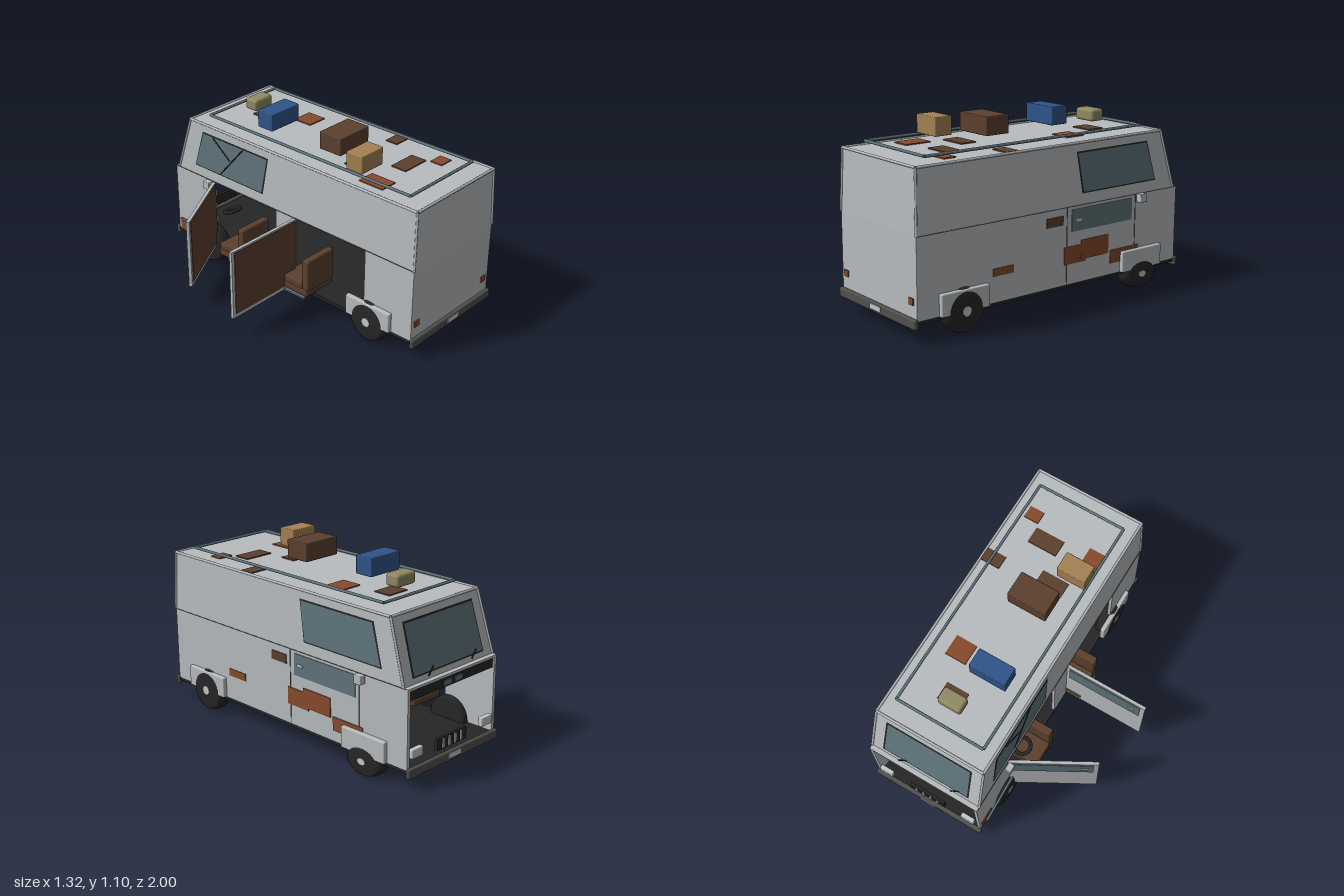
import * as THREE from 'three';
import { RoundedBoxGeometry } from 'three/addons/geometries/RoundedBoxGeometry.js';

export function createModel() {
  const van = new THREE.Group();
  van.name = 'camperVan';
  const mat = (name, color) => {
    const m = new THREE.MeshStandardMaterial({ color, side: THREE.DoubleSide });
    m.name = name;
    return m;
  };
  const body = mat('bodyGrey', 0xb8bcbf), glass = mat('tealGlass', 0x5f757b), rust = mat('rust', 0x864a2b),
    brown = mat('darkBrown', 0x5b402d), tan = mat('tan', 0xa48152), blue = mat('blue', 0x30548a),
    olive = mat('olive', 0x918a63), black = mat('black', 0x262626), grey = mat('bumperGrey', 0x50504e),
    pale = mat('paleTrim', 0xc4c9c9);

  const add = (name, geo, m, parent = van) => {
    const mesh = new THREE.Mesh(geo, m);
    mesh.name = name;
    parent.add(mesh);
    return mesh;
  };
  // box from its lower and upper limits on each axis; r rounds the edges
  const box = (name, m, x0, x1, y0, y1, z0, z1, r = 0, parent = van) => {
    const s = [x1 - x0, y1 - y0, z1 - z0];
    const geo = r ? new RoundedBoxGeometry(...s, 2, r) : new THREE.BoxGeometry(...s);
    return add(name, geo.translate((x0 + x1) / 2, (y0 + y1) / 2, (z0 + z1) / 2), m, parent);
  };
  const quad = (name, m, p) => {
    const geo = new THREE.BufferGeometry();
    geo.setAttribute('position', new THREE.Float32BufferAttribute(p.flat(), 3));
    geo.setIndex([0, 1, 2, 0, 2, 3]);
    geo.computeVertexNormals();
    return add(name, geo, m);
  };
  const bar = (name, m, a, b, r) => {
    const curve = new THREE.LineCurve3(new THREE.Vector3(...a), new THREE.Vector3(...b));
    return add(name, new THREE.TubeGeometry(curve, 1, r, 8), m);
  };

  // Lower body: open nose and two open doorways on the -x side
  box('floor', black, -0.13, 0.61, 0.11, 0.13, -0.97, 0.97);
  box('rightWall', body, 0.59, 0.61, 0.13, 0.59, -0.97, 0.97);
  for (const [z0, z1] of [[-0.97, -0.62], [-0.08, 0.07], [0.62, 0.97]])
    box('doorwayWall', body, -0.13, -0.11, 0.13, 0.59, z0, z1);
  box('endWall', body, -0.11, 0.59, 0.13, 0.59, 0.95, 0.97);
  box('noseLedge', body, -0.11, 0.59, 0.575, 0.59, -0.97, -0.93);

  // Upper body: tapered ring with roof
  const low = [[-0.13, 0.59, 0.97], [0.61, 0.59, 0.97], [0.61, 0.59, -0.94], [-0.13, 0.59, -0.94]];
  const top = [[-0.113, 0.953, 0.96], [0.597, 0.953, 0.96], [0.597, 0.953, -0.83], [-0.113, 0.953, -0.83]];
  for (let i = 0; i < 4; i++) {
    const j = (i + 1) % 4;
    quad('upperPanel', body, [low[i], low[j], top[j], top[i]]);
    bar('cornerTrim', body, low[i], top[i], 0.008);
    bar('roofTrim', body, top[i], top[j], 0.008);
  }
  quad('roof', body, top);
  for (const x of [-0.131, 0.611]) box('beltSeam', grey, x - 0.002, x + 0.002, 0.587, 0.591, -0.96, 0.97);
  for (const z of [-0.075, -0.62]) box('doorSeam', grey, 0.609, 0.613, 0.13, 0.588, z - 0.002, z + 0.002);

  // Upper side windows and windscreen, each a pane over a thin dark frame
  const onSide = (s, z, y, off) => [0.24 + s * (0.37 - (y - 0.59) * 0.04 + off), y, z];
  for (const s of [1, -1]) {
    const pane = (name, m, g, off) => quad(name, m, [
      onSide(s, -0.155 + g, 0.897 + g, off), onSide(s, -0.71 - g, 0.897 + g, off),
      onSide(s, -0.78 - g, 0.66 - g, off), onSide(s, -0.195 + g, 0.66 - g, off)]);
    pane('sideWindowFrame', black, 0.005, 0.003);
    pane('sideWindow', glass, -0.004, 0.007);
  }
  bar('windowBar', black, onSide(-1, -0.36, 0.89, 0.008), onSide(-1, -0.55, 0.67, 0.008), 0.004);
  bar('windowBar', black, onSide(-1, -0.47, 0.78, 0.008), onSide(-1, -0.62, 0.89, 0.008), 0.004);
  const onFront = (x, y, off) => [x, y, -0.94 + (y - 0.59) * 0.303 - off];
  const screen = (name, m, g, off) => quad(name, m, [onFront(-0.035 - g, 0.9 + g, off), onFront(0.515 + g, 0.9 + g, off),
    onFront(0.525 + g, 0.63 - g, off), onFront(-0.045 - g, 0.63 - g, off)]);
  screen('windscreenFrame', black, 0.01, 0.003);
  screen('windscreen', glass, 0, 0.007);
  for (const x of [0.06, 0.42]) bar('wiper', black, onFront(x, 0.61, 0.012), onFront(x - 0.05, 0.65, 0.012), 0.004);

  // Nose: dashboard, gauges, grille and lamps in the open front
  box('dashboard', black, -0.11, 0.59, 0.515, 0.575, -0.96, -0.87);
  for (const x of [0.19, 0.28]) box('gauge', glass, x - 0.03, x + 0.03, 0.525, 0.555, -0.966, -0.96);
  box('grille', black, 0.125, 0.37, 0.165, 0.235, -0.975, -0.955);
  for (let i = 0; i < 4; i++) box('grilleBar', pale, 0.165 + i * 0.05, 0.18 + i * 0.05, 0.172, 0.228, -0.982, -0.974);
  for (const x of [-0.045, 0.54]) box('headlamp', pale, x - 0.045, x + 0.045, 0.19, 0.245, -0.985, -0.955, 0.006);

  // Bumpers, plates and tail lamps
  for (const s of [1, -1]) {
    const z = s * 0.98;
    box('bumper', grey, -0.14, 0.62, 0.085, 0.142, z - 0.014, z + 0.014, 0.01);
    box('numberPlate', pale, 0.19, 0.295, 0.102, 0.132, s * 0.996 - 0.003, s * 0.996 + 0.003);
  }
  for (const x of [-0.084, 0.562]) box('tailLamp', rust, x - 0.02, x + 0.02, 0.212, 0.25, 0.968, 0.978);

  // Wheels; one front tyre has gone flat
  const profile = [[0.001, 0], [0.115, 0], [0.128, 0.012], [0.13, 0.03], [0.13, 0.06], [0.124, 0.078], [0.105, 0.09], [0.001, 0.09]]
    .map(([r, y]) => new THREE.Vector2(r, y));
  for (const s of [1, -1]) for (const z of [0.665, -0.665]) {
    const wheel = new THREE.Group();
    wheel.name = 'wheel';
    const flat = s > 0 && z < 0;
    wheel.position.set(s > 0 ? 0.55 : -0.07, flat ? 0.093 : 0.133, z);
    wheel.scale.y = flat ? 0.69 : 1;
    add('tyre', new THREE.LatheGeometry(profile, 28).rotateZ(-s * Math.PI / 2), black, wheel);
    add('hub', new THREE.CylinderGeometry(0.028, 0.028, 0.006, 16).rotateZ(Math.PI / 2).translate(s * 0.091, 0, 0), pale, wheel);
    van.add(wheel);
    // wheel guards, one lost
    if (s > 0 || z > 0) box('wheelGuard', body, s > 0 ? 0.605 : -0.157, s > 0 ? 0.637 : -0.125,
      0.125, 0.255, z - 0.163, z + 0.163, 0.008);
  }
  bar('bentTrim', glass, [-0.15, 0.21, -0.92], [-0.15, 0.27, -0.6], 0.008);

  // Mirrors
  for (const x of [0.638, -0.158]) box('mirror', body, x - 0.02, x + 0.02, 0.543, 0.595, -0.672, -0.62, 0.005);

  // Closed door details on the +x side
  box('doorWindow', glass, 0.608, 0.614, 0.44, 0.572, -0.59, -0.11);
  box('doorHandle', pale, 0.612, 0.619, 0.498, 0.514, -0.18, -0.135);
  box('doorLining', brown, 0.584, 0.59, 0.165, 0.575, -0.6, -0.095);

  // Open doors, hinged at their own origin
  for (const [z, angle] of [[-0.62, 0.513], [0.075, 0]]) {
    const door = new THREE.Group();
    door.name = 'openDoor';
    door.position.set(-0.13, 0, z);
    door.rotation.y = angle;
    box('doorPanel', body, -0.535, 0, 0.14, 0.587, -0.01, 0.01, 0, door);
    box('doorLining', brown, -0.515, -0.01, 0.165, 0.577, 0.009, 0.014, 0, door);
    box('doorWindow', glass, -0.505, -0.02, 0.44, 0.572, -0.015, -0.009, 0, door);
    box('doorHandle', pale, -0.475, -0.43, 0.498, 0.514, -0.021, -0.014, 0, door);
    van.add(door);
  }

  // Displaced seats, loose steering wheel and step
  for (const z of [-0.48, 0.06]) {
    box('seatCushion', brown, -0.238, 0, 0.162, 0.21, z, z + 0.21, 0.012);
    box('seatBack', brown, -0.232, 0, 0.2, 0.408, z + 0.165, z + 0.215, 0.012);
    box('seatFront', brown, -0.235, 0, 0.2, 0.25, z + 0.005, z + 0.17, 0.012);
  }
  const steering = add('steeringWheel', new THREE.TorusGeometry(0.05, 0.012, 8, 20), black);
  steering.position.set(-0.13, 0.445, -0.46);
  steering.rotation.x = Math.PI / 2 - 0.35;
  box('step', glass, -0.243, -0.13, 0.145, 0.157, 0.09, 0.25);

  // Rust and primer patches: roof [x0,x1,z0,z1], then +x side [z0,z1,y0,y1]
  for (const [m, x0, x1, z0, z1] of [
    [brown, 0.2, 0.345, -0.59, -0.48], [rust, 0.315, 0.45, -0.34, -0.21], [brown, 0.06, 0.235, 0.29, 0.395],
    [brown, 0.465, 0.59, 0.27, 0.355], [rust, -0.045, 0.07, 0.49, 0.66], [brown, 0.22, 0.41, 0.51, 0.615],
    [rust, 0.42, 0.515, 0.64, 0.72]]) box('roofPatch', m, x0, x1, 0.953, 0.96, z0, z1);
  for (const [m, z0, z1, y0, y1] of [
    [brown, -0.045, 0.08, 0.49, 0.545], [rust, 0.32, 0.465, 0.28, 0.325], [rust, -0.225, -0.055, 0.25, 0.355],
    [rust, -0.4, -0.185, 0.265, 0.38], [rust, -0.65, -0.42, 0.195, 0.277]])
    box('sidePatch', m, 0.608, y0 === 0.265 ? 0.616 : 0.615, y0, y1, z0, z1);
  box('sidePatch', rust, -0.135, -0.129, 0.13, 0.21, -0.95, -0.84);

  // Roof rack rail and luggage
  const rail = [[-0.045, 0.988, 0.855], [0.53, 0.988, 0.855], [0.53, 0.988, -0.72], [-0.045, 0.988, -0.72]];
  rail.forEach((p, i) => bar('rackRail', glass, p, rail[(i + 1) % 4], 0.009));
  box('tanSuitcase', tan, -0.043, 0.142, 0.995, 1.106, 0.39, 0.508, 0.006);
  box('brownTrunk', brown, 0.05, 0.303, 0.995, 1.106, 0.105, 0.268, 0.006);
  box('blueCase', blue, 0.025, 0.262, 0.995, 1.106, -0.375, -0.255, 0.006);
  box('oliveBag', olive, 0.165, 0.317, 0.995, 1.07, -0.625, -0.53, 0.018);
  return van;
}
